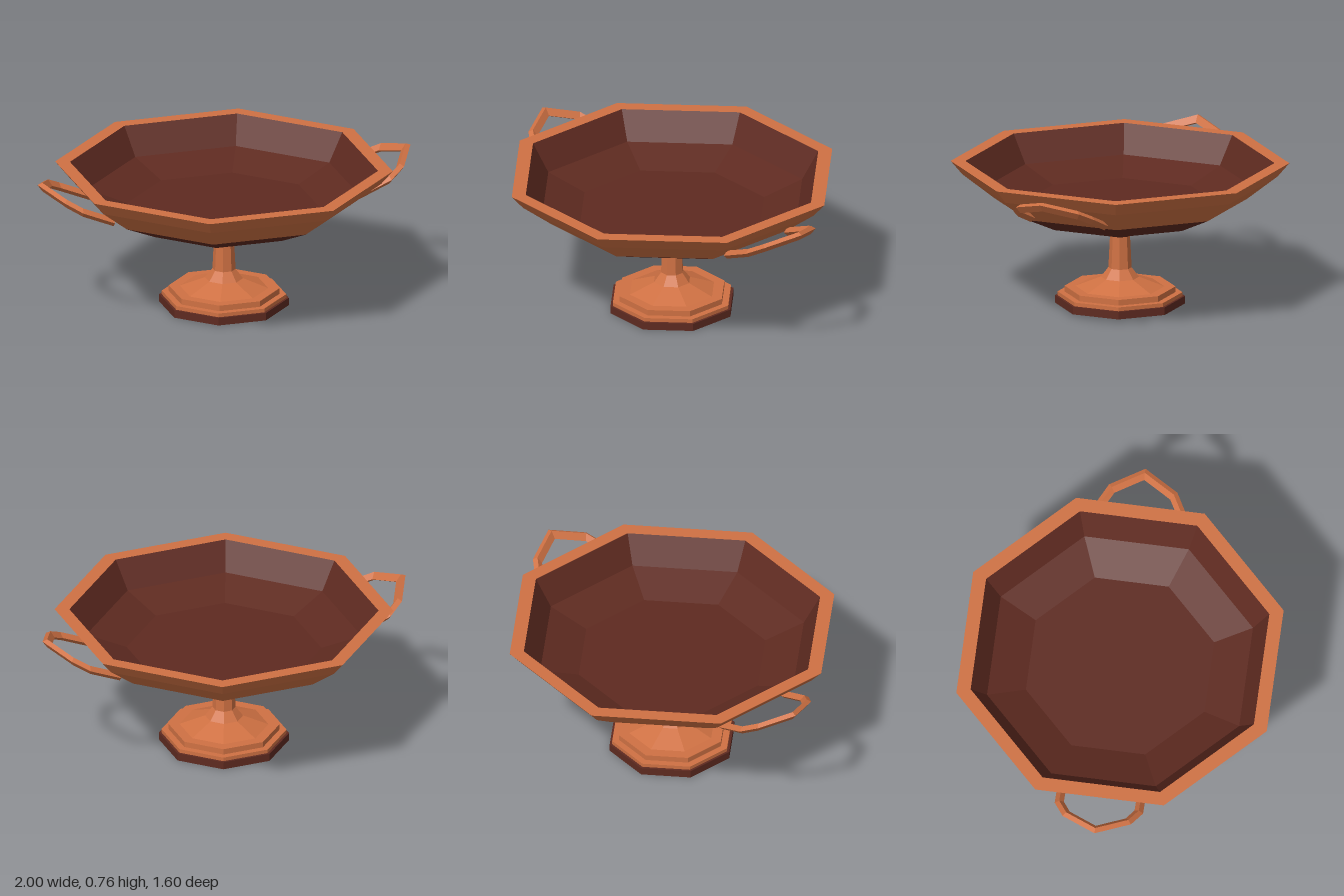
import * as THREE from 'three';

const SIDES = 8;
const terracotta = new THREE.MeshStandardMaterial({ color: 0xcf7143 });
terracotta.name = 'terracotta';
const darkGlaze = new THREE.MeshStandardMaterial({ color: 0x5e2a20 });
darkGlaze.name = 'dark glaze';

// Give every face its own flat normal
function facet(geometry) {
  const flat = geometry.toNonIndexed();
  flat.computeVertexNormals();
  return flat;
}

// Octagonal turning; the profile lists [distance to the flat side, height]
function turned(name, profile, material) {
  const k = 1 / Math.cos(Math.PI / SIDES);
  const points = profile.map(([r, y]) => new THREE.Vector2(r * k, y));
  const mesh = new THREE.Mesh(facet(new THREE.LatheGeometry(points, SIDES, Math.PI / SIDES)), material);
  mesh.name = name;
  return mesh;
}

// Four-sided bar mitred along a path of [x, z] points, lifted by height(x)
function mitredBar(path, radius, height) {
  const sides = 4;
  const pts = path.map(([x, z]) => new THREE.Vector2(x, z));
  const last = pts.length - 1;
  const sideOf = (a, b) => {
    const t = b.clone().sub(a).normalize();
    return new THREE.Vector2(t.y, -t.x);
  };
  const positions = [], index = [];
  pts.forEach((p, i) => {
    const before = sideOf(pts[Math.max(i - 1, 0)], pts[Math.max(i, 1)]);
    const after = sideOf(pts[Math.min(i, last - 1)], pts[Math.min(i + 1, last)]);
    const mitre = before.clone().add(after).normalize();
    mitre.divideScalar(mitre.dot(before));
    for (let j = 0; j < sides; j++) {
      const a = (j / sides) * Math.PI * 2;
      const w = Math.cos(a) * radius;
      const x = p.x + mitre.x * w;
      positions.push(x, height(x) + Math.sin(a) * radius, p.y + mitre.y * w);
      if (i < last) {
        const n = (j + 1) % sides, r = i * sides, s = r + sides;
        index.push(r + j, r + n, s + n, r + j, s + n, s + j);
      }
    }
  });
  const geometry = new THREE.BufferGeometry();
  geometry.setAttribute('position', new THREE.Float32BufferAttribute(positions, 3));
  geometry.setIndex(index);
  return facet(geometry);
}

export function createModel() {
  const cup = new THREE.Group();
  cup.name = 'footedCup';

  // Stepped foot and stem
  cup.add(turned('plinth', [[0, 0], [0.307, 0], [0.307, 0.04], [0.29, 0.04]], darkGlaze));
  cup.add(turned('footAndStem', [
    [0.295, 0.04], [0.295, 0.06], [0.262, 0.06], [0.262, 0.09], [0.21, 0.09],
    [0.09, 0.14], [0.055, 0.19], [0.047, 0.365],
  ], terracotta));

  // Collar joining the stem to the bowl
  cup.add(turned('collarUnderside', [[0.04, 0.36], [0.05, 0.36], [0.115, 0.395]], darkGlaze));
  cup.add(turned('collar', [[0.115, 0.395], [0.155, 0.437]], terracotta));

  // Bowl
  cup.add(turned('bowlUnderside', [[0.1, 0.43], [0.15, 0.433], [0.425, 0.468], [0.6, 0.555]], darkGlaze));
  cup.add(turned('bowlWallAndRim', [[0.6, 0.555], [0.745, 0.675], [0.8, 0.745], [0.73, 0.745]], terracotta));
  cup.add(turned('bowlInterior', [[0.73, 0.745], [0.65, 0.6], [0.46, 0.53], [0, 0.53]], darkGlaze));

  // Loop handles: a gentle rise from the bowl, then a steeper one to the tip
  const half = [[0.657, 0.205], [0.82, 0.205], [0.892, 0.16], [0.974, 0]];
  const path = [...half.map(([x, z]) => [x, -z]), ...half.slice(0, 3).reverse()];
  const rise = (x) => 0.655 + (x - 0.82) * (x < 0.82 ? 0.42 : 0.55);
  const bar = mitredBar(path, 0.023, rise);
  ['leftHandle', 'rightHandle'].forEach((name, i) => {
    const handle = new THREE.Mesh(bar, terracotta);
    handle.name = name;
    handle.rotation.y = i * Math.PI;
    cup.add(handle);
  });

  return cup;
}
